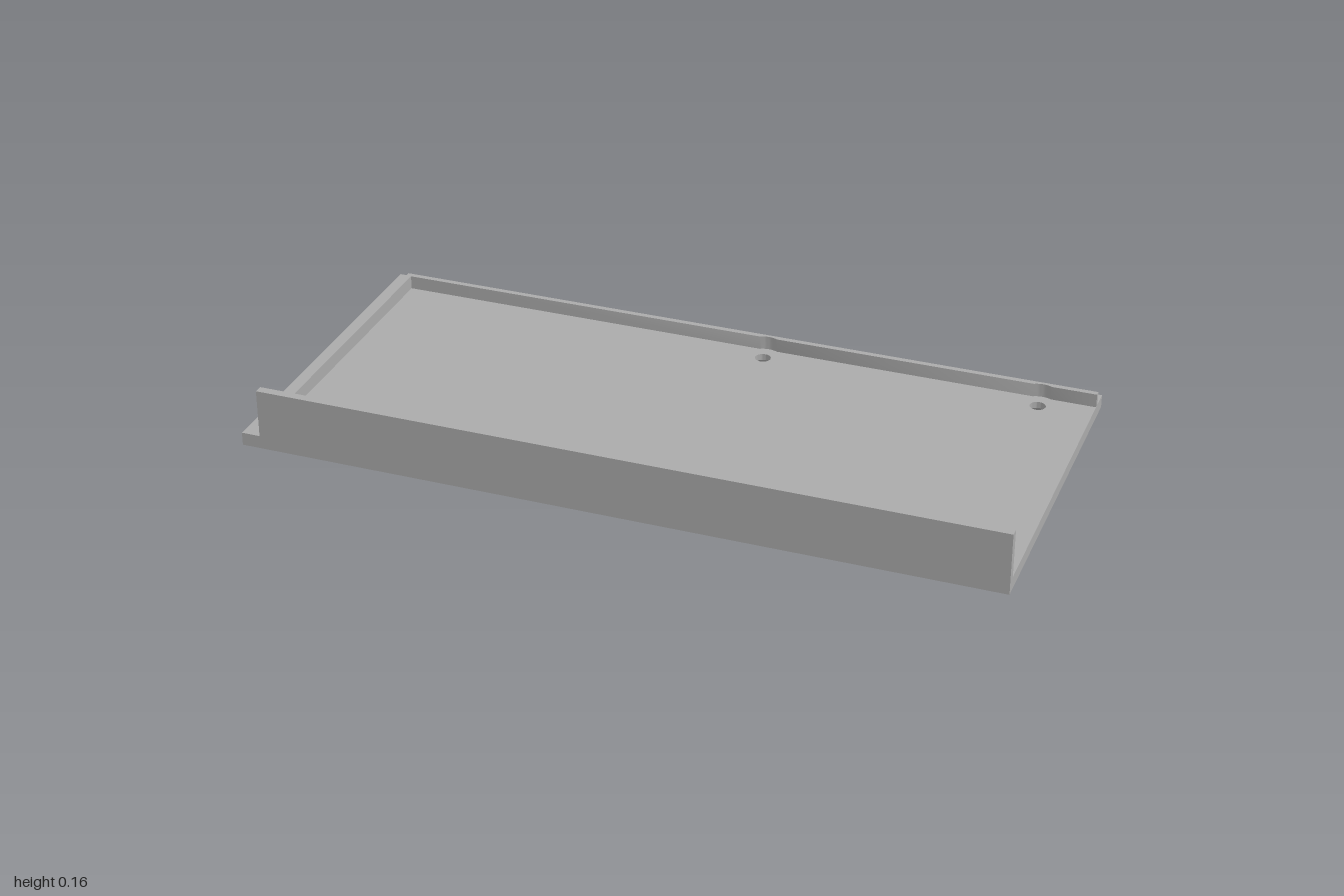
import * as THREE from 'three';
import { toCreasedNormals } from 'three/addons/utils/BufferGeometryUtils.js';

const BASE_TOP = 0.035, RIM_TOP = 0.072, WALL_TOP = 0.165;
const HALF_Z = 0.473;
const HOLE_R = 0.021, SINK_R = 0.037, HEAD_R = 0.051;
// screw hole centres as [x, z]
const HOLES = [[0.11, -0.36], [0.857, -0.36], [-0.835, 0.4], [0.857, 0.4]];

// Extrude a plan outline (drawn with y = -z) upwards from y0 to y1
function extrudeUp(shape, y0, y1, steps = 1) {
  const geo = new THREE.ExtrudeGeometry(shape, { depth: y1 - y0, steps, bevelEnabled: false, curveSegments: 24 });
  geo.rotateX(-Math.PI / 2);
  geo.translate(0, y0, 0);
  return geo;
}

function outline(points) {
  return new THREE.Shape(points.map(([x, z]) => new THREE.Vector2(x, -z)));
}

// Base plate with countersunk holes, widened on the underside
function basePlateGeometry() {
  const shape = outline([[-1, HALF_Z], [1, HALF_Z], [1, -HALF_Z], [-1, -HALF_Z]]);
  for (const [x, z] of HOLES) {
    const hole = new THREE.Path();
    hole.absarc(x, -z, HOLE_R, 0, Math.PI * 2, true);
    shape.holes.push(hole);
  }
  const geo = extrudeUp(shape, 0, BASE_TOP, 2);
  const pos = geo.attributes.position;
  for (let i = 0; i < pos.count; i++) {
    if (pos.getY(i) > 0.001) continue;
    for (const [x, z] of HOLES) {
      const dx = pos.getX(i) - x, dz = pos.getZ(i) - z;
      if (Math.hypot(dx, dz) > HOLE_R * 1.1) continue;
      pos.setXYZ(i, x + dx * SINK_R / HOLE_R, 0, z + dz * SINK_R / HOLE_R);
      break;
    }
  }
  return toCreasedNormals(geo, 0.5);
}

// L-shaped rim along the right and back, relieved around the screw heads
function rimGeometry() {
  const inner = -0.405;
  const points = [[-0.95, 0.45], [-0.935, 0.45], [-0.935, inner]];
  for (const [x, z] of HOLES.slice(0, 2)) {
    const half = Math.acos((z - inner) / HEAD_R);
    for (let i = 0; i <= 8; i++) {
      const a = half * (i / 4 - 1);
      points.push([x + HEAD_R * Math.sin(a), z - HEAD_R * Math.cos(a)]);
    }
  }
  points.push([1, inner], [1, -0.42], [-0.95, -0.42]);
  return toCreasedNormals(extrudeUp(outline(points), BASE_TOP, RIM_TOP), 0.5);
}

export function createModel() {
  const group = new THREE.Group();
  group.name = 'tray';
  const grey = new THREE.MeshStandardMaterial({ color: 0xaaaaaa });
  grey.name = 'grey';

  const add = (name, geo) => {
    const mesh = new THREE.Mesh(geo, grey);
    mesh.name = name;
    group.add(mesh);
  };

  add('basePlate', basePlateGeometry());
  add('rim', rimGeometry());
  // tall wall along the front edge
  const wall = outline([[-0.95, HALF_Z], [1, HALF_Z], [1, 0.45], [-0.95, 0.45]]);
  add('frontWall', extrudeUp(wall, BASE_TOP, WALL_TOP));
  return group;
}
